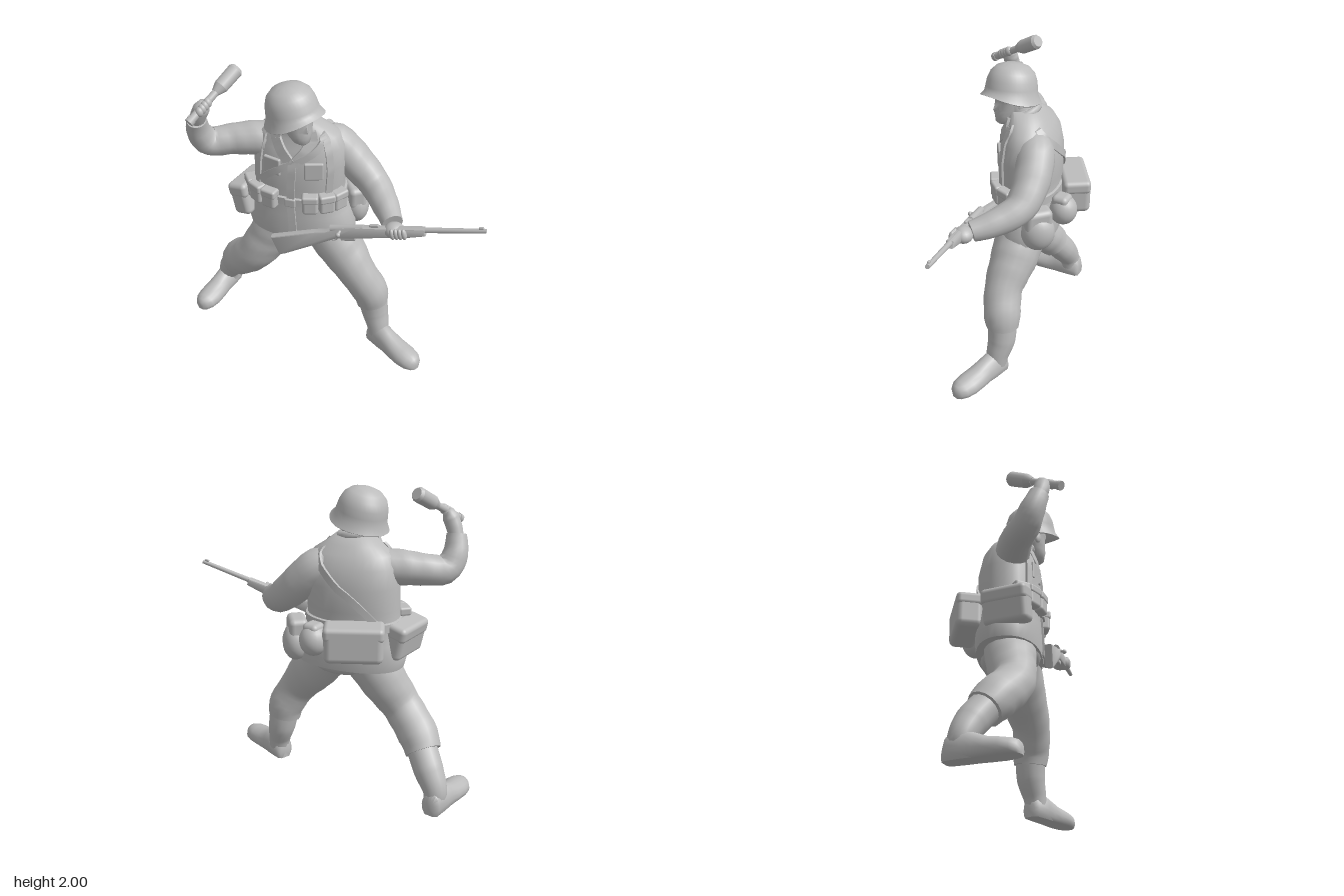
import * as THREE from 'three';
import { toCreasedNormals } from 'three/addons/utils/BufferGeometryUtils.js';
import { RoundedBoxGeometry } from 'three/addons/geometries/RoundedBoxGeometry.js';

const V = (x, y, z) => new THREE.Vector3(x, y, z);
const UP = V(0, 1, 0);

// Skin a list of closed rings and cap both ends
function loft(rings, crease = 0.9) {
  const n = rings[0].length, pos = [], idx = [];
  const centre = r => r.reduce((s, p) => s.add(p), V(0, 0, 0)).divideScalar(n);
  rings.forEach(r => r.forEach(p => pos.push(p.x, p.y, p.z)));
  for (let i = 0; i < rings.length - 1; i++) for (let j = 0; j < n; j++) {
    const a = i * n + j, b = i * n + (j + 1) % n;
    idx.push(a, b, b + n, a, b + n, a + n);
  }
  const last = (rings.length - 1) * n, c0 = last + n;
  [centre(rings[0]), centre(rings[rings.length - 1])].forEach(p => pos.push(p.x, p.y, p.z));
  for (let j = 0; j < n; j++) {
    const k = (j + 1) % n;
    idx.push(c0, k, j, c0 + 1, last + j, last + k);
  }
  const g = new THREE.BufferGeometry();
  g.setAttribute('position', new THREE.Float32BufferAttribute(pos, 3));
  g.setIndex(idx);
  return toCreasedNormals(g, crease);
}

// Limb along points [x, y, z, radius], with optional cloth folds
function limb(pts, fold = 0, steps = 22, seg = 16) {
  const curve = new THREE.CatmullRomCurve3(pts.map(p => V(p[0], p[1], p[2])));
  const f = curve.computeFrenetFrames(steps), rings = [];
  for (let i = 0; i <= steps; i++) {
    const u = i / steps, t = curve.getUtoTmapping(u) * (pts.length - 1);
    const k = Math.min(Math.floor(t), pts.length - 2), c = curve.getPointAt(u);
    const r = THREE.MathUtils.lerp(pts[k][3], pts[k + 1][3], t - k);
    rings.push(Array.from({ length: seg }, (_, j) => {
      const a = j / seg * Math.PI * 2;
      const rr = r * (1 + fold * Math.sin(u * 36 + 3 * Math.sin(a)));
      return c.clone().addScaledVector(f.normals[i], rr * Math.cos(a)).addScaledVector(f.binormals[i], rr * Math.sin(a));
    }));
  }
  return loft(rings, 1.2);
}

// Torso sections: y, centre x, centre z, half width, half depth
const YAW = 0.35;
const TORSO = [
  [0.87, -0.14, -0.125, 0.35, 0.205], [0.94, -0.145, -0.13, 0.36, 0.21], [1.04, -0.15, -0.13, 0.325, 0.205],
  [1.14, -0.16, -0.13, 0.295, 0.195], [1.25, -0.155, -0.13, 0.295, 0.2], [1.4, -0.145, -0.13, 0.3, 0.2],
  [1.52, -0.145, -0.13, 0.29, 0.175], [1.59, -0.15, -0.125, 0.25, 0.14], [1.64, -0.155, -0.105, 0.175, 0.12], [1.69, -0.16, -0.08, 0.11, 0.1]];
const LAT = V(Math.cos(YAW), 0, Math.sin(YAW)), BACK = V(Math.sin(YAW), 0, -Math.cos(YAW));
function torsoPoint(a, y, off = 0) {
  let i = 0;
  while (i < TORSO.length - 2 && y > TORSO[i + 1][0]) i++;
  const t = (y - TORSO[i][0]) / (TORSO[i + 1][0] - TORSO[i][0]);
  const [, x, z, w, d] = TORSO[i].map((v, k) => THREE.MathUtils.lerp(v, TORSO[i + 1][k], t));
  const sq = v => Math.sign(v) * Math.abs(v) ** 0.88;
  return V(x, y, z).addScaledVector(LAT, (w + off) * sq(Math.cos(a))).addScaledVector(BACK, (d + off) * sq(Math.sin(a)));
}
const torsoNormal = a => LAT.clone().multiplyScalar(Math.cos(a) / 0.3).addScaledVector(BACK, Math.sin(a) / 0.2).normalize();
const torsoRing = (y, off, n = 32) => Array.from({ length: n }, (_, j) => torsoPoint(j / n * Math.PI * 2, y, off));

// Flat strap laid on the torso from [angle, y] points
function strap(pts, w = 0.022) {
  const path = new THREE.CatmullRomCurve3(pts.map(([a, y]) => V(a, y, 0)));
  const s = path.getPoints(18), c = s.map(p => torsoPoint(p.x, p.y, 0.003));
  return loft(s.map((p, i) => {
    const T = c[Math.min(i + 1, 18)].clone().sub(c[Math.max(i - 1, 0)]).normalize();
    const n = torsoNormal(p.x), side = n.clone().cross(T).normalize();
    return [[1, -1], [1, 1], [-1, 1], [-1, -1]].map(([u, v]) => c[i].clone().addScaledVector(side, u * w).addScaledVector(n, v * 0.009));
  }), 0.5);
}

// Shoe from the heel along a direction: [distance, half width, height]
function shoe(heel, dir) {
  const side = UP.clone().cross(dir);
  const prof = [[0, 0.04, 0.1], [0.02, 0.065, 0.15], [0.12, 0.073, 0.17], [0.18, 0.072, 0.15], [0.25, 0.08, 0.122], [0.33, 0.085, 0.108], [0.39, 0.075, 0.096], [0.425, 0.052, 0.082], [0.442, 0.022, 0.06]];
  return loft(prof.map(([t, w, h]) => Array.from({ length: 18 }, (_, j) => {
    const a = j / 18 * Math.PI * 2;
    return heel.clone().addScaledVector(dir, t).addScaledVector(side, w * Math.cos(a)).setY(Math.max(0, h * (0.35 + 0.65 * Math.sin(a))));
  })), 1.0);
}

// Head sections: y, half width, front z, back z, nose length
function headGeometry() {
  const prof = [[-0.145, 0.03, 0.085, 0.01, 0], [-0.13, 0.052, 0.1, -0.02, 0], [-0.1, 0.07, 0.1, -0.05, 0], [-0.08, 0.076, 0.106, -0.07, 0], [-0.055, 0.084, 0.1, -0.09, 0.004], [-0.045, 0.088, 0.1, -0.1, 0.026], [-0.005, 0.093, 0.096, -0.12, 0.014], [0.02, 0.097, 0.1, -0.125, 0.004], [0.035, 0.098, 0.106, -0.125, 0], [0.09, 0.1, 0.1, -0.12, 0], [0.13, 0.07, 0.06, -0.09, 0]];
  return loft(prof.map(([y, w, f, b, nose]) => Array.from({ length: 24 }, (_, j) => {
    const a = j / 24 * Math.PI * 2;
    return V(w * Math.cos(a), y, (f + b) / 2 - (f - b) / 2 * Math.sin(a) + (j === 18 ? nose : 0));
  })), 1.0);
}

export function createModel() {
  const root = new THREE.Group();
  const mat = new THREE.MeshStandardMaterial({ color: 0xbcbcbc });
  mat.name = 'plain grey';
  const add = (name, geo, parent = root) => {
    const m = new THREE.Mesh(geo, mat);
    m.name = name;
    parent.add(m);
    return m;
  };
  const ball = (name, p, s, parent = root) => {
    const m = add(name, new THREE.SphereGeometry(1, 20, 14), parent);
    m.position.set(...p);
    m.scale.set(...s);
    return m;
  };
  const box = (name, size, p, ry = 0, r = 0.02, parent = root) => {
    const m = add(name, new RoundedBoxGeometry(...size, 3, r), parent);
    m.position.set(...p);
    m.rotation.y = ry;
    return m;
  };
  const rod = (name, a, b, r0, r1, parent = root) => {
    const d = b.clone().sub(a), m = add(name, new THREE.CylinderGeometry(r1, r0, d.length(), 14), parent);
    m.position.copy(a).addScaledVector(d, 0.5);
    m.quaternion.setFromUnitVectors(UP, d.normalize());
    return m;
  };

  // Tunic, belt and harness
  add('tunic', loft(TORSO.map(r => torsoRing(r[0], 0))));
  add('belt', loft([[1.13, 0], [1.132, 0.014], [1.185, 0.014], [1.19, 0]].map(r => torsoRing(...r)), 0.5));
  const F = -Math.PI / 2;
  add('frontPlacket', strap([[F, 0.88], [F, 1.2], [F, 1.46]], 0.025));
  for (const s of [-1, 1]) {
    add('lapel', strap([[F + s * 0.02, 1.44], [F + s * 0.3, 1.55], [F + s * 0.6, 1.65]], 0.035));
    add('harnessStrap', strap([[F + s * 0.85, 1.18], [F + s * 0.82, 1.4], [F + s * 0.8, 1.55], [F + s * 1.0, 1.63]]));
    const a = F + s * 0.42, p = torsoPoint(a, 1.4, -0.006), n = torsoNormal(a);
    box('chestPocket', [0.12, 0.12, 0.025], p.toArray(), Math.atan2(n.x, n.z), 0.01);
  }
  add('chestSling', strap([[F - 0.75, 1.27], [F - 0.2, 1.4], [F + 0.5, 1.54], [F + 0.9, 1.62]]));
  add('backSling', strap([[-F - 0.9, 1.62], [-F - 0.4, 1.5], [-F + 0.3, 1.3], [-F + 0.8, 1.15]]));
  for (const a of [-2.72, -2.34, -1.96, -1.2, -0.82, -0.44]) {
    const p = torsoPoint(a, 1.17, 0.02), n = torsoNormal(a), ry = Math.atan2(n.x, n.z);
    box('ammunitionPouch', [0.1, 0.13, 0.07], p.toArray(), ry, 0.02);
    box('pouchFlap', [0.105, 0.055, 0.08], p.clone().setY(1.212).toArray(), ry, 0.015);
  }
  box('buckle', [0.07, 0.06, 0.02], torsoPoint(F, 1.158, 0.015).toArray(), -YAW, 0.008);

  // Kit hung around the belt
  box('backPack', [0.36, 0.23, 0.17], [-0.155, 1.1, -0.415], -0.04, 0.04);
  box('packFlap', [0.37, 0.09, 0.18], [-0.155, 1.17, -0.41], -0.04, 0.03);
  ball('rolledPouch', [0.09, 1.07, -0.3], [0.09, 0.1, 0.09]);
  box('rolledPouchFlap', [0.11, 0.1, 0.11], [0.09, 1.13, -0.29], 2.5, 0.03);
  ball('canteen', [0.21, 0.99, -0.12], [0.085, 0.125, 0.108]);
  box('canteenCover', [0.12, 0.15, 0.18], [0.2, 1.08, -0.115], 0.2, 0.035);
  const bag = new THREE.Group();
  bag.name = 'breadBag';
  bag.position.set(-0.475, 1.07, -0.225);
  bag.rotation.set(0.22, -2.2, 0, 'YXZ');
  root.add(bag);
  box('bagBody', [0.29, 0.22, 0.13], [0, -0.01, 0], 0, 0.035, bag);
  box('bagFlap', [0.295, 0.1, 0.142], [0, 0.06, 0], 0, 0.03, bag);

  // Trousers, boots and shoes
  ball('seat', [-0.13, 0.89, -0.12], [0.25, 0.11, 0.19]);
  add('rightTrouser', limb([[-0.22, 0.95, -0.15, 0.168], [-0.345, 0.75, -0.165, 0.153], [-0.47, 0.57, -0.185, 0.13], [-0.575, 0.42, -0.31, 0.131], [-0.605, 0.34, -0.375, 0.115]], 0.012));
  add('leftTrouser', limb([[-0.04, 0.95, -0.08, 0.168], [0.095, 0.75, 0.01, 0.157], [0.21, 0.57, 0.1, 0.123], [0.295, 0.42, 0.12, 0.121], [0.31, 0.34, 0.12, 0.108]], 0.012));
  add('rightBoot', limb([[-0.58, 0.4, -0.33, 0.1], [-0.635, 0.25, -0.45, 0.096], [-0.675, 0.14, -0.51, 0.078], [-0.675, 0.07, -0.52, 0.068]]));
  add('leftBoot', limb([[0.305, 0.4, 0.12, 0.1], [0.33, 0.25, 0.13, 0.092], [0.35, 0.14, 0.16, 0.075], [0.355, 0.07, 0.17, 0.068]]));
  add('rightShoe', shoe(V(-0.635, 0, -0.59), V(-0.58, 0, 0.81).normalize()));
  add('leftShoe', shoe(V(0.31, 0, 0.115), V(0.61, 0, 0.79).normalize()));

  // Sleeves
  add('rightSleeve', limb([[-0.3, 1.5, -0.16, 0.11], [-0.44, 1.5, -0.175, 0.11], [-0.58, 1.49, -0.185, 0.098], [-0.715, 1.49, -0.17, 0.09], [-0.77, 1.58, -0.14, 0.078], [-0.775, 1.69, -0.1, 0.062]], 0.015));
  add('leftSleeve', limb([[-0.04, 1.51, -0.12, 0.1], [0.07, 1.48, -0.12, 0.12], [0.19, 1.36, -0.08, 0.117], [0.305, 1.24, 0.01, 0.1], [0.36, 1.18, 0.17, 0.085], [0.385, 1.15, 0.31, 0.066]], 0.015));

  // Neck, collar and head
  rod('neck', V(-0.16, 1.6, -0.07), V(-0.16, 1.74, -0.02), 0.085, 0.08);
  const collar = add('collar', new THREE.TorusGeometry(0.095, 0.025, 8, 24));
  collar.position.set(-0.16, 1.67, -0.075);
  collar.rotation.x = Math.PI / 2 + 0.3;
  const head = new THREE.Group();
  head.name = 'head';
  head.position.set(-0.17, 1.74, 0.005);
  head.rotation.y = 0.45;
  root.add(head);
  add('face', headGeometry(), head);
  for (const s of [-1, 1]) ball('ear', [s * 0.091, -0.02, -0.02], [0.015, 0.04, 0.026], head);

  // Helmet with a raised brow and a deep flared neck guard
  const prof = [[0, 0.19], [0.05, 0.186], [0.1, 0.167], [0.135, 0.132], [0.153, 0.085], [0.16, 0.04], [0.165, 0], [0.189, -0.045], [0.184, -0.05], [0.156, 0], [0.148, 0.06], [0.1, 0.145], [0, 0.172]];
  const hg = new THREE.LatheGeometry(prof.map(p => new THREE.Vector2(...p)).reverse(), 36);
  const hp = hg.attributes.position;
  for (let i = 0; i < hp.count; i++) {
    const x = hp.getX(i), y = hp.getY(i), z = hp.getZ(i), c = z / (Math.hypot(x, z) || 1);
    if (y < 0.03) hp.setY(i, y + (0.03 - y) * 0.55 * Math.max(0, c) ** 2);
    hp.setZ(i, z * 1.03);
  }
  const helmet = add('helmet', toCreasedNormals(hg, 0.9));
  helmet.position.set(-0.195, 1.768, -0.005);
  helmet.rotation.set(-0.1, 0.6, 0.2, 'ZXY');

  // Rifle, built along its own x axis
  const rifle = new THREE.Group(), X = V(0.85, 0.23, 0.36).normalize();
  const Z = X.clone().cross(UP).normalize(), Y = Z.clone().cross(X);
  rifle.name = 'rifle';
  rifle.quaternion.setFromRotationMatrix(new THREE.Matrix4().makeBasis(X, Y, Z));
  rifle.position.set(-0.34, 0.95, 0.07);
  root.add(rifle);
  const stockShape = new THREE.Shape([[0, -0.175], [0.03, -0.172], [0.3, -0.085], [0.42, -0.045], [0.9, -0.033], [1.0, -0.022], [1.0, 0.012], [0.55, 0.022], [0.45, 0.02], [0.36, -0.01], [0.28, -0.012], [-0.02, -0.05]].map(p => new THREE.Vector2(...p)));
  const stock = new THREE.ExtrudeGeometry(stockShape, { depth: 0.025, bevelThickness: 0.012, bevelSize: 0.008, bevelSegments: 2 });
  stock.translate(0, 0, -0.0125);
  add('stock', toCreasedNormals(stock, 0.7), rifle);
  rod('receiver', V(0.4, 0.015, 0), V(0.62, 0.018, 0), 0.024, 0.022, rifle);
  rod('barrel', V(0.6, 0.008, 0), V(1.376, 0, 0), 0.021, 0.014, rifle);
  rod('boltHandle', V(0.47, 0.015, 0), V(0.46, 0, 0.05), 0.009, 0.009, rifle);
  ball('boltKnob', [0.46, 0, 0.05], [0.015, 0.015, 0.015], rifle);
  box('magazine', [0.1, 0.04, 0.03], [0.5, -0.055, 0], 0, 0.008, rifle);
  box('rearSight', [0.06, 0.02, 0.02], [0.69, 0.033, 0], 0, 0.005, rifle);
  box('frontSight', [0.03, 0.025, 0.014], [1.35, 0.014, 0], 0, 0.005, rifle);
  const guard = add('triggerGuard', new THREE.TorusGeometry(0.03, 0.006, 6, 16, Math.PI), rifle);
  guard.position.set(0.4, -0.045, 0);
  guard.rotation.z = Math.PI;

  // Left hand wrapped round the rifle
  ball('leftHand', [0.39, 1.135, 0.36], [0.065, 0.05, 0.06]);
  for (let i = 0; i < 4; i++) ball('leftFinger', [0.805 + i * 0.025, -0.008, 0.03], [0.017, 0.038, 0.02], rifle);
  ball('leftThumb', [0.8, 0.022, -0.02], [0.04, 0.015, 0.02], rifle);

  // Stick grenade raised in the right hand
  const a = V(-0.81, 1.75, 0.03), b = V(-0.515, 1.965, -0.22), at = t => a.clone().lerp(b, t);
  rod('grenadeHandle', a, at(0.65), 0.026, 0.022);
  rod('grenadeCollar', at(0.55), at(0.66), 0.026, 0.045);
  rod('grenadeHead', at(0.66), at(0.96), 0.045, 0.047);
  rod('grenadeTop', at(0.96), b, 0.047, 0.036);
  rod('grenadeCap', a, at(0.06), 0.029, 0.029);

  // Right hand gripping the handle
  add('rightHand', limb([[-0.775, 1.66, -0.11, 0.045], [-0.76, 1.73, -0.085, 0.05], [-0.735, 1.79, -0.07, 0.05], [-0.715, 1.83, -0.075, 0.028]], 0, 12));
  for (let i = 0; i < 4; i++) {
    const p = at(0.2 + i * 0.055);
    ball('rightFinger', [p.x + 0.006, p.y + 0.004, p.z + 0.008], [0.026, 0.032, 0.028]);
  }
  return root;
}
